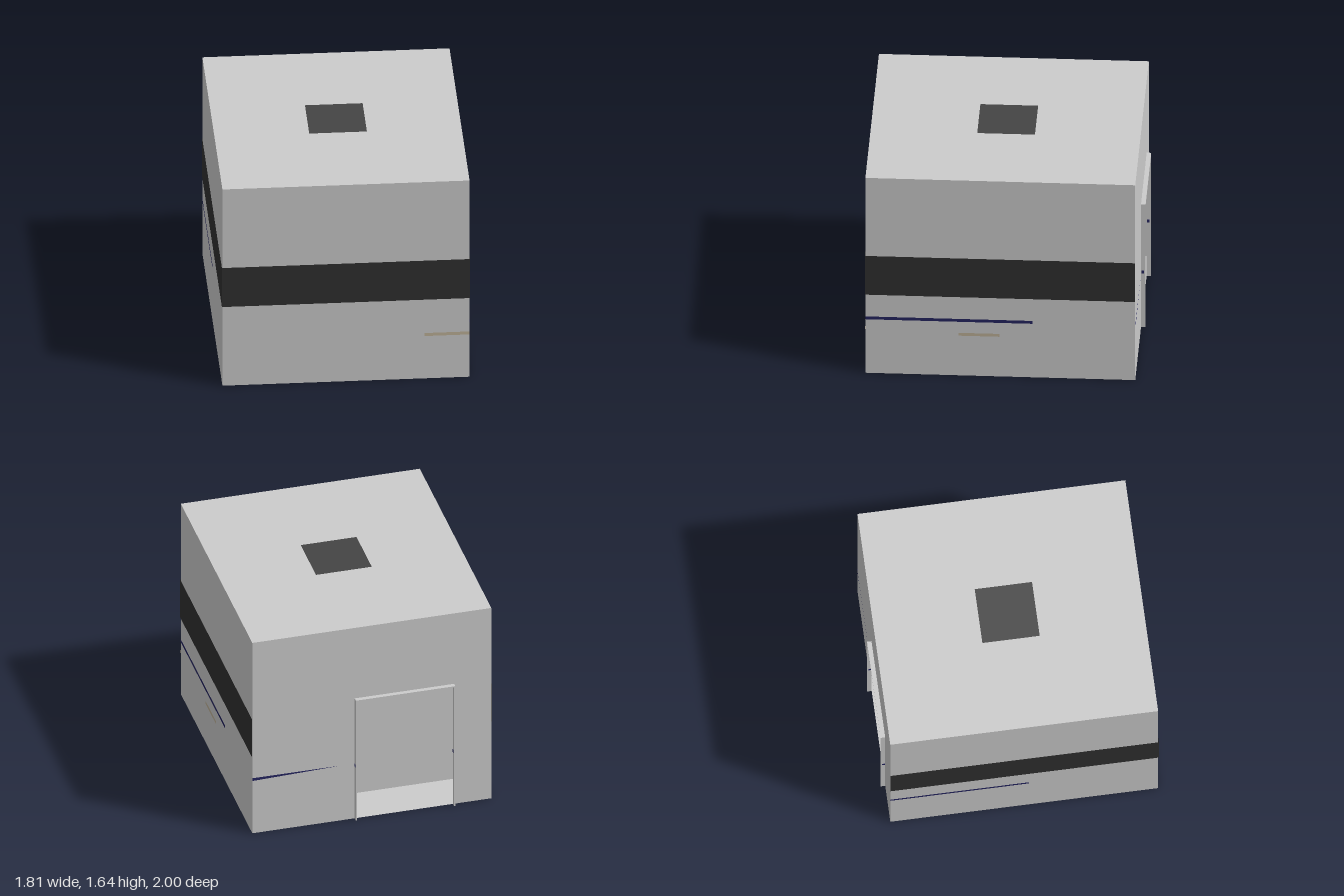
import * as THREE from 'three';

const W = 0.9, H = 1.635, ZF = 0.996, ZB = -0.967;
const DEPTH = ZF - ZB, ZM = (ZF + ZB) / 2;

export function createModel() {
  const root = new THREE.Group();
  const mat = (color) => new THREE.MeshStandardMaterial({ color, side: THREE.DoubleSide });
  const grey = mat(0xcccccc), black = mat(0x303030), charcoal = mat(0x444444);
  const navy = mat(0x242460), tan = mat(0xbfb299);

  const add = (name, geo, m, x = 0, y = 0, z = 0, rx = 0, ry = 0) => {
    const mesh = new THREE.Mesh(geo, m);
    mesh.name = name;
    mesh.position.set(x, y, z);
    mesh.rotation.set(rx, ry, 0);
    root.add(mesh);
    return mesh;
  };
  const plane = (w, h) => new THREE.PlaneGeometry(w, h);
  const box = (w, h, d) => new THREE.BoxGeometry(w, h, d);

  // Hollow cabin shell
  add('frontWall', plane(2 * W, H), grey, 0, H / 2, ZF);
  add('floor', plane(2 * W, DEPTH), grey, 0, 0, ZM, -Math.PI / 2);
  add('roof', plane(2 * W, DEPTH), grey, 0, H, ZM, -Math.PI / 2);
  for (const s of [1, -1]) {
    add(s > 0 ? 'leftWall' : 'rightWall', plane(DEPTH, H), grey, s * W, H / 2, ZM, 0, s * Math.PI / 2);
  }

  // Back wall with a doorway notch
  const dl = -0.62, dr = 0.13, dh = 1.03, t = 0.01;
  const outline = (pts) => new THREE.Shape(pts.map(([x, y]) => new THREE.Vector2(x, y)));
  add('backWall', new THREE.ShapeGeometry(outline([
    [-W, 0], [dl, 0], [dl, dh], [dr, dh], [dr, 0], [W, 0], [W, H], [-W, H],
  ])), grey, 0, 0, ZB);

  // Thin door surround
  add('doorFrame', new THREE.ExtrudeGeometry(outline([
    [dl, 0], [dl + t, 0], [dl + t, dh - t], [dr - t, dh - t], [dr - t, 0], [dr, 0], [dr, dh], [dl, dh],
  ]), { depth: ZB + 1, bevelEnabled: false }), grey, 0, 0, -1);

  // Raised door block set just inside the opening
  add('doorBlock', box(1.4, 1.2, 0.3), grey, -0.15, 0.165 + 0.6, -0.89 + 0.15);

  // Dark band round the front and both sides
  const bandH = 0.325, bandY = 0.82, e = 0.004;
  add('frontBand', plane(2 * (W + e), bandH), black, 0, bandY, ZF + e);
  for (const s of [1, -1]) {
    add('sideBand', plane(DEPTH + e, bandH), black, s * (W + e), bandY, ZM + e / 2, 0, s * Math.PI / 2);
  }

  // Roof hatch
  add('roofHatch', plane(0.42, 0.42), charcoal, 0, H + 0.002, 0.01, -Math.PI / 2);

  // Narrow blue side stripes
  const stripe = (s, z0, z1) => add('sideStripe', plane(z1 - z0, 0.024), navy,
    s * (W + 0.002), 0.462, (z0 + z1) / 2, 0, s * Math.PI / 2);
  stripe(1, -0.22, ZF);
  stripe(-1, ZB, 0.05);

  // Tapering back stripe and its marks on the door jambs
  add('backStripe', new THREE.ShapeGeometry(outline([[W, 0.45], [W, 0.474], [0.24, 0.471]])),
    navy, 0, 0, ZB - 0.002);
  for (const x of [dl + t / 2, dr - t / 2]) {
    add('jambMark', box(t + 0.003, 0.024, 0.02), navy, x, 0.462, ZB - 0.012);
  }

  // Pale markings on the front and left walls
  add('frontMark', plane(0.33, 0.025), tan, 0.735, 0.366, ZF + 0.002);
  add('sideMark', plane(0.3, 0.024), tan, W + 0.001, 0.345, 0.17, 0, Math.PI / 2);

  return root;
}
